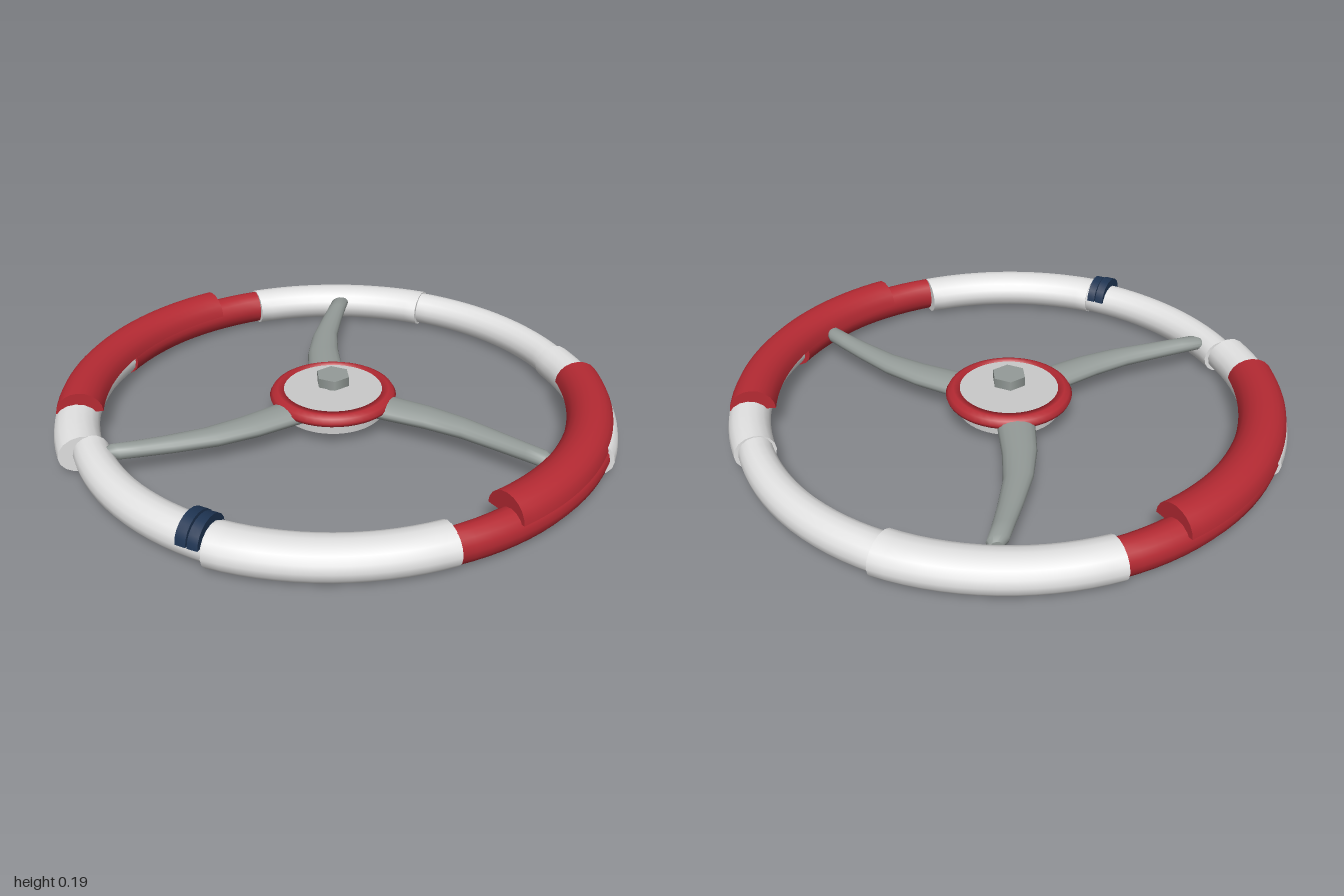
import * as THREE from 'three';
import { toCreasedNormals } from 'three/addons/utils/BufferGeometryUtils.js';

const mat = (name, color) => {
  const m = new THREE.MeshStandardMaterial({ color });
  m.name = name;
  return m;
};

// Skin a list of closed cross-sections and cap both ends.
function loft(rings) {
  const n = rings[0].length, pos = [], idx = [];
  rings.forEach(r => r.forEach(p => pos.push(p.x, p.y, p.z)));
  for (let i = 0; i < rings.length - 1; i++) {
    for (let j = 0; j < n; j++) {
      const k = (j + 1) % n;
      const a = i * n + j, b = i * n + k, c = a + n, d = b + n;
      idx.push(a, b, d, a, d, c);
    }
  }
  const last = (rings.length - 1) * n;
  for (let j = 1; j < n - 1; j++) {
    idx.push(0, j + 1, j);
    idx.push(last, last + j, last + j + 1);
  }
  const g = new THREE.BufferGeometry();
  g.setAttribute('position', new THREE.Float32BufferAttribute(pos, 3));
  g.setIndex(idx);
  return toCreasedNormals(g, 0.75);
}

// Unit profiles in (across, up).
const oval = [], dome = [];
for (let j = 0; j < 16; j++) {
  const a = (j / 16) * Math.PI * 2;
  oval.push([Math.cos(a), Math.sin(a)]);
}
for (let j = 0; j <= 10; j++) {
  const a = (j / 10) * Math.PI;
  dome.push([Math.cos(a), Math.sin(a)]);
}

// Arc around the wheel, in degrees from the back, with [inner, outer] radii at both ends.
function arc(profile, from, to, start, end, y, h, steps = 14) {
  const rings = [];
  for (let i = 0; i <= steps; i++) {
    const t = i / steps;
    const a = THREE.MathUtils.degToRad(from + (to - from) * t);
    const inner = THREE.MathUtils.lerp(start[0], end[0], t);
    const outer = THREE.MathUtils.lerp(start[1], end[1], t);
    rings.push(profile.map(([u, v]) => {
      const r = (inner + outer) / 2 + u * (outer - inner) / 2;
      return new THREE.Vector3(r * Math.sin(a), y + v * h, -r * Math.cos(a));
    }));
  }
  return loft(rings);
}

export function createModel() {
  const white = mat('white', 0xe2e2e2);
  const red = mat('red', 0xb52a33);
  const navy = mat('navy', 0x1e3452);
  const metal = mat('spoke grey', 0x949b98);
  const plate = mat('light grey', 0xc9c9c9);

  const model = new THREE.Group();
  model.name = 'steeringWheel';
  const add = (parent, name, geo, material, x = 0, y = 0, z = 0) => {
    const m = new THREE.Mesh(geo, material);
    m.name = name;
    m.position.set(x, y, z);
    parent.add(m);
    return m;
  };

  // Rim: eight slightly mismatched sections
  const rim = new THREE.Group();
  rim.name = 'rim';
  model.add(rim);
  [
    [white, [0.848, 0.985], [0.84, 0.96], 0.062],
    [white, [0.83, 0.975], [0.85, 1.0], 0.066],
    [red, [0.83, 0.985], [0.865, 0.97], 0.063],
    [white, [0.82, 0.98], [0.83, 1.0], 0.067],
    [white, [0.835, 0.98], [0.825, 0.95], 0.062],
    [white, [0.84, 1.0], [0.85, 1.0], 0.066],
    [red, [0.84, 0.99], [0.865, 0.985], 0.063],
    [white, [0.845, 1.0], [0.83, 1.0], 0.067],
  ].forEach(([m, s, e, h], i) => {
    add(rim, 'rimSection' + (i + 1),
      arc(oval, i * 45 - 0.7, i * 45 + 44.5, s, e, 0.067, h), m);
  });

  // Raised hand grips on both sides
  add(model, 'leftGrip', arc(dome, 58.5, 121.5, [0.815, 0.975], [0.815, 0.975], 0.1, 0.075, 24), red);
  add(model, 'rightGrip', arc(dome, 238.5, 301.5, [0.828, 0.992], [0.828, 0.992], 0.1, 0.075, 24), red);

  // Two clamp bands at the front
  [[180.2, 182.3], [182.6, 184.8]].forEach(([a, b], i) => {
    add(model, 'clampBand' + (i + 1),
      arc(dome, a, b, [0.828, 0.99], [0.828, 0.99], 0.085, i ? 0.075 : 0.07, 2), navy);
  });

  // Hub: grey body, red collar, stem and hexagonal nut
  const hub = new THREE.Group();
  hub.name = 'hub';
  hub.position.x = -0.015;
  model.add(hub);
  add(hub, 'hubBody', new THREE.CylinderGeometry(0.18, 0.183, 0.085, 48), plate, 0, 0.0875);
  const collar = [[0.17, 0.09], [0.205, 0.085], [0.222, 0.095], [0.227, 0.108],
    [0.218, 0.123], [0.2, 0.132], [0.177, 0.132], [0.17, 0.09]];
  add(hub, 'hubCollar',
    new THREE.LatheGeometry(collar.map(p => new THREE.Vector2(...p)), 48), red);
  add(hub, 'nutStem', new THREE.CylinderGeometry(0.024, 0.024, 0.04, 16), metal, 0, 0.14);
  const nut = add(hub, 'nut', new THREE.CylinderGeometry(0.062, 0.062, 0.035, 6), metal, 0, 0.1675);
  nut.rotation.y = Math.PI / 2;

  // Three curved, tapering spokes: [reach, sideways shift, half width, height, half thickness]
  const spokeRows = [
    [0.12, -0.01, 0.07, 0.09, 0.034], [0.22, -0.005, 0.066, 0.09, 0.034],
    [0.36, 0.0, 0.06, 0.09, 0.032], [0.5, 0.02, 0.051, 0.09, 0.03],
    [0.64, 0.06, 0.043, 0.092, 0.028], [0.74, 0.092, 0.038, 0.095, 0.027],
    [0.81, 0.115, 0.036, 0.098, 0.026], [0.832, 0.121, 0.02, 0.098, 0.015],
  ];
  const spokeGeo = loft(spokeRows.map(([x, z, w, y, h]) =>
    oval.map(([u, v]) => new THREE.Vector3(x - u * w * 0.12, y + v * h, z - u * w))));
  for (let i = 0; i < 3; i++) {
    add(hub, 'spoke' + (i + 1), spokeGeo, metal).rotation.y = (i * Math.PI * 2) / 3;
  }
  return model;
}
